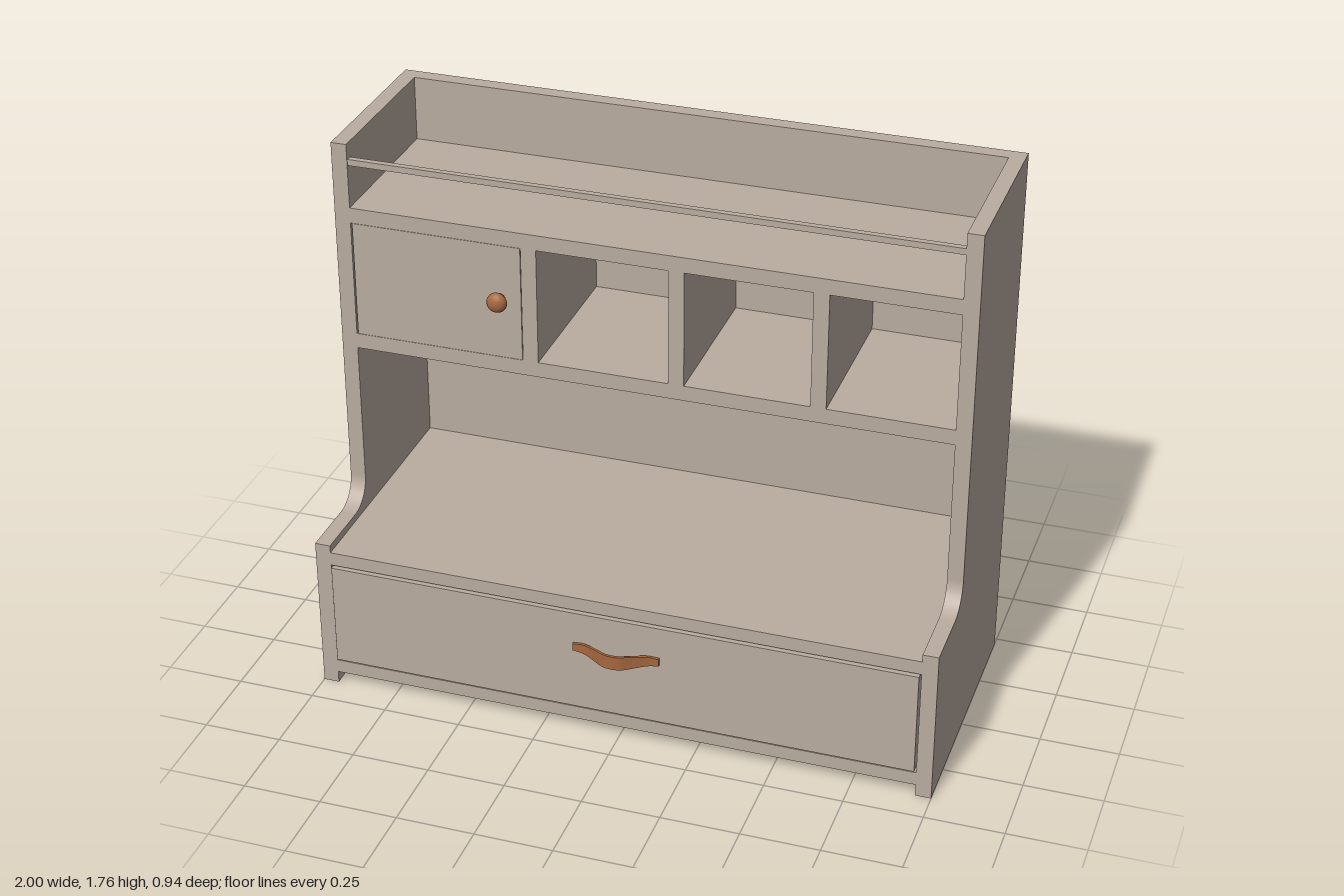
import * as THREE from 'three';

export function createModel() {
  const group = new THREE.Group();
  const wood = new THREE.MeshStandardMaterial({ name: 'paintedWood', color: 0xbaaca0 });
  const copper = new THREE.MeshStandardMaterial({ name: 'brownHardware', color: 0xa5673f });

  const add = (name, geometry, material) => {
    const mesh = new THREE.Mesh(geometry, material);
    mesh.name = name;
    group.add(mesh);
    return mesh;
  };
  // Board given by its limits on each axis
  const board = (name, [x0, x1], [y0, y1], [z0, z1]) => {
    const mesh = add(name, new THREE.BoxGeometry(x1 - x0, y1 - y0, z1 - z0), wood);
    mesh.position.set((x0 + x1) / 2, (y0 + y1) / 2, (z0 + z1) / 2);
  };

  const back = -0.47, inner = -0.42, upper = 0.113, lower = 0.403, top = 1.76;
  const span = [-0.95, 0.95];

  // Side panels with a rounded step between hutch and base
  const profile = new THREE.Shape();
  profile.moveTo(back, 0);
  profile.lineTo(lower, 0);
  profile.lineTo(lower, 0.515);
  profile.lineTo(upper + 0.09, 0.515);
  profile.absarc(upper + 0.09, 0.605, 0.09, -Math.PI / 2, -Math.PI, true);
  profile.lineTo(upper, top);
  profile.lineTo(back, top);
  const sideGeometry = new THREE.ExtrudeGeometry(profile, { depth: 0.05, bevelEnabled: false, curveSegments: 16 });
  sideGeometry.rotateY(-Math.PI / 2);
  add('leftSide', sideGeometry, wood).position.x = 1;
  add('rightSide', sideGeometry, wood).position.x = -0.95;

  // Carcass boards
  board('backPanel', span, [0, top], [back, inner]);
  board('bottomBoard', span, [0.04, 0.085], [inner, lower]);
  board('deskTop', span, [0.445, 0.49], [inner, lower]);
  board('lowerShelf', span, [1.07, 1.12], [inner, upper]);
  board('upperShelf', span, [1.5, 1.55], [inner, upper]);
  board('topRail', span, [1.69, 1.71], [0.09, 0.11]);

  // Pigeonhole dividers
  for (const x of [-0.4, 0.065, 0.508]) board('divider', [x, x + 0.049], [1.12, 1.5], [inner, upper]);

  // Door and drawer fronts
  board('cabinetDoor', [-0.945, -0.402], [1.121, 1.499], [upper - 0.04, upper]);
  board('drawerFront', [-0.945, 0.945], [0.095, 0.44], [0.365, 0.413]);

  // Turned door knob
  const knobProfile = [[0, 0], [0.019, 0], [0.017, 0.01], [0.026, 0.014], [0.032, 0.023],
    [0.032, 0.031], [0.026, 0.042], [0.014, 0.049], [0, 0.05]].map(([r, h]) => new THREE.Vector2(r, h));
  const knob = add('doorKnob', new THREE.LatheGeometry(knobProfile, 24), copper);
  knob.rotation.x = Math.PI / 2;
  knob.position.set(-0.47, 1.32, upper);

  // Bowed drawer pull: a bent strip that widens towards the middle
  const curve = new THREE.CatmullRomCurve3([[-0.142, 0.413], [-0.105, 0.416], [-0.06, 0.438], [-0.025, 0.456], [0, 0.459],
    [0.025, 0.456], [0.06, 0.438], [0.105, 0.416], [0.137, 0.413]].map(([x, z]) => new THREE.Vector3(x, z, 0)));
  const path = curve.getPoints(28);
  const strip = new THREE.Shape([
    ...path.map((p) => new THREE.Vector2(p.x, p.y)),
    ...path.slice().reverse().map((p) => new THREE.Vector2(p.x, p.y + 0.009)),
  ]);
  const pull = new THREE.ExtrudeGeometry(strip, { depth: 1, bevelEnabled: false });
  pull.translate(0, 0, -0.5);
  pull.rotateX(Math.PI / 2);
  // After the turn the strip lies in x-z and its width runs along y
  const pos = pull.attributes.position;
  for (let i = 0; i < pos.count; i++) {
    const t = Math.min(1, Math.max(0, (0.142 - Math.abs(pos.getX(i))) / 0.1));
    pos.setY(i, 0.321 + Math.sign(pos.getY(i)) * (0.012 + 0.011 * t));
  }
  pull.computeVertexNormals();
  add('drawerPull', pull, copper);

  return group;
}
